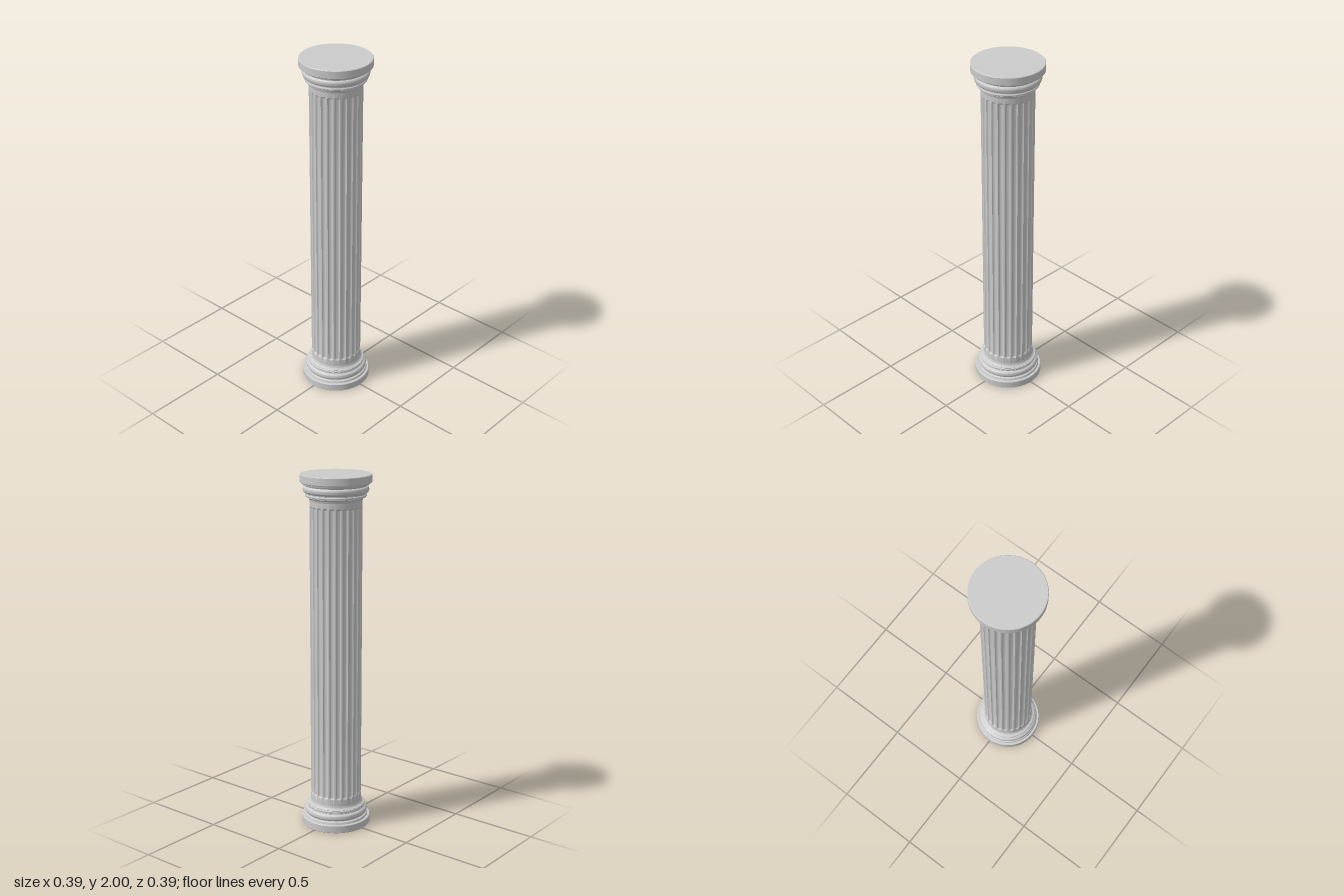
import * as THREE from 'three';
import { mergeVertices, toCreasedNormals } from 'three/addons/utils/BufferGeometryUtils.js';

const HEIGHT = 2, RADIUS = 0.143;
const FLUTES = 24, FLUTE_SEGMENTS = 10, FLUTE_DEPTH = 0.009;
const FLUTE_BOTTOM = 0.18, FLUTE_TOP = 1.83;

// Points along a convex half-round moulding between two heights
function halfRound(radius, bulge, y0, y1, steps = 8) {
  return Array.from({ length: steps + 1 }, (_, i) => {
    const a = -Math.PI / 2 + (Math.PI * i) / steps;
    return [radius + bulge * Math.cos(a), (y0 + y1) / 2 + ((y1 - y0) / 2) * Math.sin(a)];
  });
}

// Moulded end of the column, from its outer disc in to the shaft
function endProfile() {
  const cove = Array.from({ length: 7 }, (_, i) => {
    const a = (i / 6) * Math.PI / 2;
    return [0.161 - 0.016 * Math.sin(a), 0.138 - 0.016 * Math.cos(a)];
  });
  return [
    [0, 0], [0.192, 0], [0.195, 0.003], [0.195, 0.042], [0.192, 0.045],
    [0.181, 0.046], [0.178, 0.056], [0.168, 0.06],
    ...halfRound(0.167, 0.011, 0.063, 0.098),
    [0.163, 0.101], [0.163, 0.106],
    ...halfRound(0.16, 0.006, 0.107, 0.12, 6),
    ...cove, [RADIUS, 0.142],
  ];
}

function lathe(points, segments) {
  return new THREE.LatheGeometry(points.map(([r, y]) => new THREE.Vector2(r, y)), segments);
}

function makeEnd(name, material, flipped) {
  let profile = endProfile();
  if (flipped) profile = profile.map(([r, y]) => [r, HEIGHT - y]).reverse();
  const mesh = new THREE.Mesh(toCreasedNormals(lathe(profile, 96), 0.6), material);
  mesh.name = name;
  return mesh;
}

// Shaft with round-ended flutes pressed into a lathed cylinder
function makeShaft(material) {
  const pitch = (Math.PI * 2) / FLUTES;
  const halfWidth = 0.4 * pitch * RADIUS;
  const ends = [0, 0.15, 0.3, 0.5, 0.7, 0.85, 0.95, 1].map((t) => t * halfWidth);
  const rows = [
    0.13,
    ...ends.map((e) => FLUTE_BOTTOM + e),
    0.6, 1.0, 1.4,
    ...ends.map((e) => FLUTE_TOP - e).reverse(),
    1.87,
  ];
  let geometry = lathe(rows.map((y) => [RADIUS, y]), FLUTES * FLUTE_SEGMENTS);
  const pos = geometry.attributes.position;
  for (let i = 0; i < pos.count; i++) {
    const y = pos.getY(i);
    const angle = Math.atan2(pos.getX(i), pos.getZ(i));
    const across = (angle - Math.round(angle / pitch) * pitch) * RADIUS;
    const beyond = Math.max(0, FLUTE_BOTTOM + halfWidth - y, y - FLUTE_TOP + halfWidth);
    const d = Math.hypot(across, beyond) / halfWidth;
    const scale = 1 - (FLUTE_DEPTH * Math.sqrt(Math.max(0, 1 - d * d))) / RADIUS;
    pos.setXYZ(i, pos.getX(i) * scale, y, pos.getZ(i) * scale);
  }
  geometry.deleteAttribute('normal');
  geometry.deleteAttribute('uv');
  geometry = toCreasedNormals(mergeVertices(geometry), 0.6);
  const mesh = new THREE.Mesh(geometry, material);
  mesh.name = 'flutedShaft';
  return mesh;
}

export function createModel() {
  const material = new THREE.MeshStandardMaterial({ color: 0xcccccc });
  const column = new THREE.Group();
  column.name = 'column';
  column.add(
    makeEnd('base', material, false),
    makeShaft(material),
    makeEnd('capital', material, true),
  );
  return column;
}
